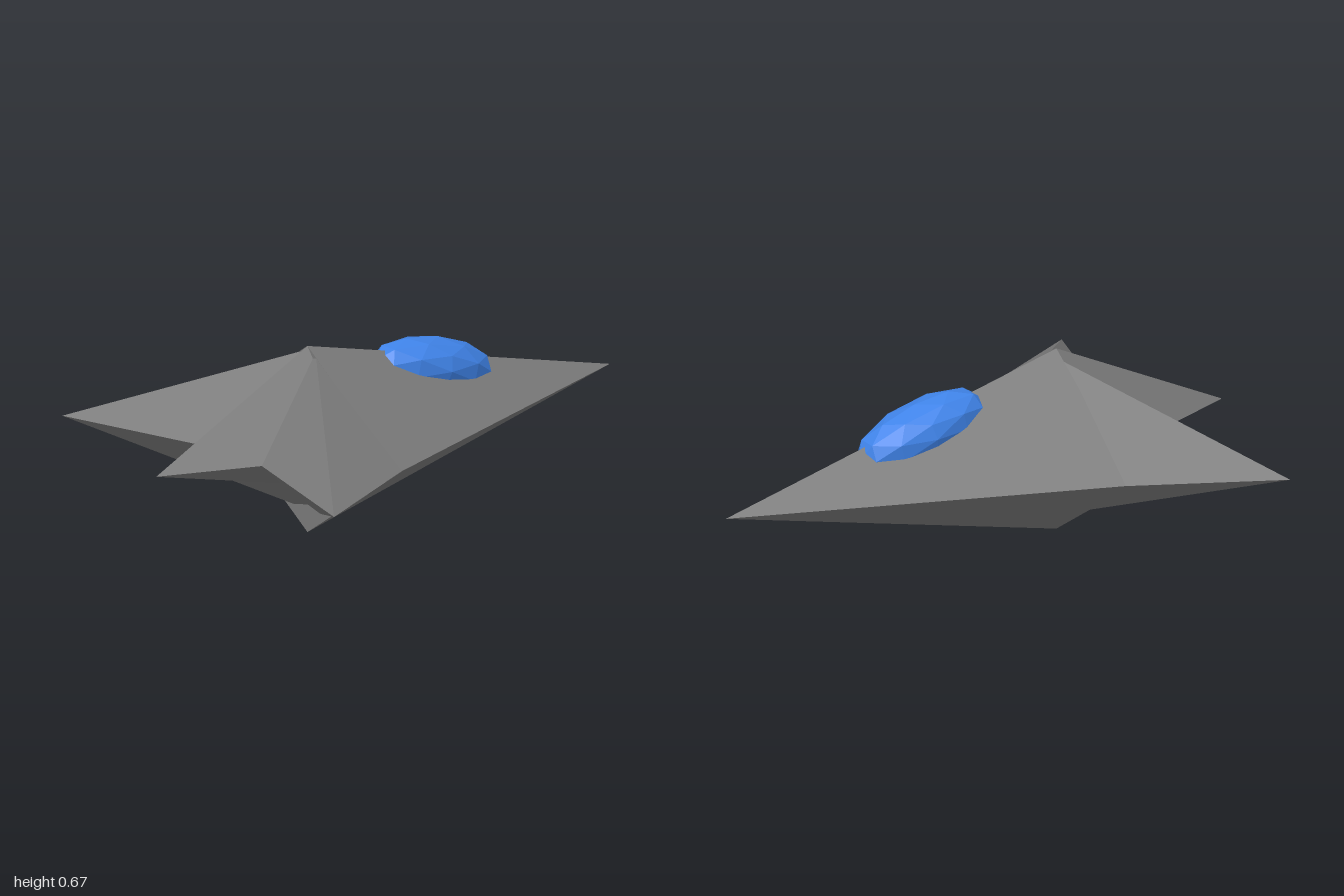
import * as THREE from 'three';

const MID = 0.333; // height of the widest line of the hull
const BASE = -0.333; // x of the hull's flat rear

// Four-sided spike: a tip joined to a loop that runs counter-clockwise seen from the tip
function spike(name, tip, loop, material, capped) {
  const points = [];
  loop.forEach((p, i) => points.push(...tip, ...p, ...loop[(i + 1) % loop.length]));
  if (capped) {
    for (let i = 1; i < loop.length - 1; i++) points.push(...loop[0], ...loop[i + 1], ...loop[i]);
  }
  const geometry = new THREE.BufferGeometry();
  geometry.setAttribute('position', new THREE.Float32BufferAttribute(points, 3));
  geometry.computeVertexNormals();
  const mesh = new THREE.Mesh(geometry, material);
  mesh.name = name;
  return mesh;
}

export function createModel() {
  const group = new THREE.Group();
  group.name = 'spacecraft';
  const darkGrey = new THREE.MeshStandardMaterial({ color: 0x7a7a7a, flatShading: true });
  const blue = new THREE.MeshStandardMaterial({ color: 0x3f83e8, flatShading: true });

  // Long forward hull, closed by a flat rear
  group.add(spike('hull', [1, MID, 0], [
    [BASE, MID, -0.49], [BASE, 0.667, 0], [BASE, MID, 0.49], [BASE, 0, 0],
  ], darkGrey, true));

  // Tail spike, shallower below than above
  group.add(spike('tail', [-1, MID, 0], [
    [BASE, MID, 0.253], [BASE, 0.667, 0], [BASE, MID, -0.253], [BASE, 0.171, 0],
  ], darkGrey, true));

  // Swept wings, their roots buried in the hull and tail
  const root = [[0.657, MID, 0], [-0.3, 0.655, 0], [-0.606, MID, 0], [-0.282, 0.056, 0]];
  group.add(spike('leftWing', [-0.815, MID, 0.733], root, darkGrey, false));
  group.add(spike('rightWing', [-0.815, MID, -0.733], [...root].reverse(), darkGrey, false));

  // Faceted canopy sunk into the top ridge
  const canopy = new THREE.Mesh(new THREE.IcosahedronGeometry(1, 1), blue);
  canopy.name = 'canopy';
  canopy.scale.set(0.26, 0.1, 0.112);
  canopy.position.set(0.215, 0.49, 0);
  canopy.rotation.z = -Math.atan2(0.334, 1.333);
  group.add(canopy);

  return group;
}
